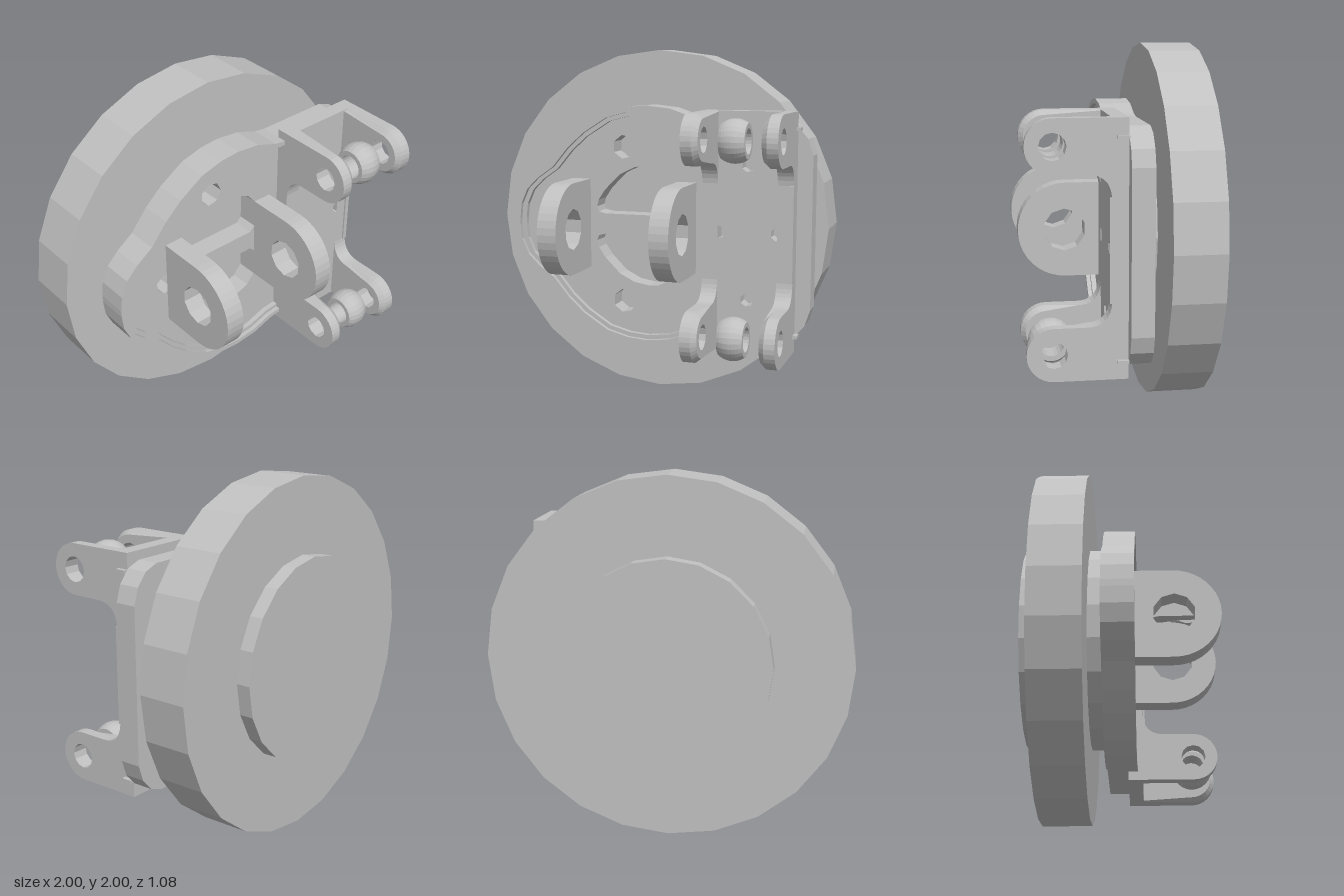
import * as THREE from 'three';

const grey = new THREE.MeshStandardMaterial({ color: 0xc0c0c0, flatShading: true });
grey.name = 'plain grey';
const smoothGrey = grey;

const toPoints = (list) => list.map(([x, y]) => new THREE.Vector2(x, y));
const mirrorY = (list) => list.map(([x, y]) => [x, 2 - y]).reverse();

function circlePath(x, y, r, sides, turn = 0) {
  const pts = [];
  for (let i = 0; i < sides; i++) {
    const a = turn + (i / sides) * Math.PI * 2;
    pts.push([x + r * Math.cos(a), y + r * Math.sin(a)]);
  }
  return new THREE.Path(toPoints(pts));
}

export function createModel() {
  const model = new THREE.Group();
  model.name = 'wheelMount';

  const add = (name, geometry, x = 0, y = 0, z = 0, material = grey) => {
    const mesh = new THREE.Mesh(geometry, material);
    mesh.name = name;
    mesh.position.set(x, y, z);
    model.add(mesh);
    return mesh;
  };
  const slab = (shape, depth) =>
    new THREE.ExtrudeGeometry(shape, { depth, bevelEnabled: false, curveSegments: 6 });
  // Profile drawn as (z, y), thickness running from sz = 0 towards -x
  const sideSlab = (shape, depth, steps = 1, curveSegments = 8) =>
    new THREE.ExtrudeGeometry(shape, { depth, steps, bevelEnabled: false, curveSegments });

  // Large disc and the hub that passes through it
  const disc = (name, r, sides, z0, z1) =>
    add(name, new THREE.CylinderGeometry(r, r, z1 - z0, sides).rotateX(Math.PI / 2), 0, 1, (z0 + z1) / 2);
  disc('disc', 1, 24, -0.46, -0.18);
  disc('hub', 0.575, 20, -0.54, -0.1);

  // Mounting plate: upper half of the outline, mirrored for the lower half
  const leftTop = [
    [-0.82, 1.02], [-0.81, 1.11], [-0.77, 1.2], [-0.7, 1.27], [-0.6, 1.34], [-0.5, 1.46],
    [-0.4, 1.55], [-0.25, 1.645], [-0.12, 1.68], [0, 1.69], [0.14, 1.675], [0.27, 1.63], [0.34, 1.62],
  ];
  const rightTop = [[0.77, 1.62], [0.85, 1.59], [0.91, 1.52], [0.94, 1.43]];
  const upper = [...leftTop, ...rightTop];
  const plateShape = new THREE.Shape(toPoints([...upper, ...mirrorY(upper)]));

  // Two large pockets and three bolt holes
  const pocket = [
    [-0.32, 1.1], [-0.31, 1.07], [-0.27, 1.06], [0.14, 1.06], [0.17, 1.09], [0.17, 1.26],
    [0.12, 1.32], [0.06, 1.345], [0, 1.35], [-0.09, 1.335], [-0.18, 1.29], [-0.27, 1.2], [-0.31, 1.14],
  ];
  plateShape.holes.push(
    new THREE.Path(toPoints(pocket)),
    new THREE.Path(toPoints(mirrorY(pocket))),
    circlePath(-0.15, 1.45, 0.07, 7),
    circlePath(-0.15, 0.55, 0.07, 7),
    circlePath(-0.48, 1, 0.065, 7),
  );
  add('mountingPlate', slab(plateShape, 0.12), 0, 0, -0.1);

  // Raised rim in two steps, open towards the bracket
  const rimOuter = [...mirrorY(leftTop), ...leftTop];
  const rim = (name, scale, z0, z1) => {
    const inner = rimOuter.map(([x, y]) => [x > 0.33 ? x : x * scale, 1 + (y - 1) * scale]).reverse();
    add(name, slab(new THREE.Shape(toPoints([...rimOuter, ...inner])), z1 - z0), 0, 0, z0);
  };
  rim('rimBase', 0.925, 0.02, 0.05);
  rim('rimTop', 0.96, 0.05, 0.075);

  // Pair of pierced lugs
  const lug = new THREE.Shape();
  lug.moveTo(0.02, 0.74);
  lug.lineTo(0.28, 0.74);
  lug.absarc(0.28, 1, 0.26, -Math.PI / 2, Math.PI / 2, false);
  lug.lineTo(0.02, 1.26);
  lug.holes.push(circlePath(0.285, 1, 0.117, 10, 0.3));
  for (const [name, x] of [['rightLug', -0.36], ['leftLug', 0.28]]) {
    add(name, sideSlab(lug, 0.11, 1, 10).rotateY(-Math.PI / 2), x);
  }

  // Bracket base with four small holes
  const base = new THREE.Shape(toPoints([[0.36, 0.33], [0.84, 0.33], [0.84, 1.67], [0.36, 1.67]]));
  for (const [x, y] of [[0.6, 1.375], [0.6, 0.625], [0.435, 1], [0.765, 1]]) {
    base.holes.push(circlePath(x, y, 0.038, 7));
  }
  add('bracketBase', slab(base, 0.085), 0, 0, 0.02);

  // Bracket cheeks, each with two eyed ears chamfered on the inner face
  const ears = [0.47, 1.53];
  const cheek = new THREE.Shape();
  cheek.moveTo(0.02, 0.33);
  cheek.lineTo(0.4, 0.33);
  cheek.absarc(0.4, 0.47, 0.14, -Math.PI / 2, Math.PI / 2, false);
  cheek.lineTo(0.23, 0.61);
  cheek.quadraticCurveTo(0.115, 0.61, 0.105, 0.73);
  cheek.lineTo(0.105, 1.27);
  cheek.quadraticCurveTo(0.115, 1.39, 0.23, 1.39);
  cheek.lineTo(0.4, 1.39);
  cheek.absarc(0.4, 1.53, 0.14, -Math.PI / 2, Math.PI / 2, false);
  cheek.lineTo(0.02, 1.67);
  for (const y of ears) cheek.holes.push(circlePath(0.4, y, 0.07, 12));

  const makeCheek = (innerAtStart) => {
    const g = sideSlab(cheek, 0.09, 3);
    const p = g.attributes.position;
    const innerZ = innerAtStart ? 0 : 0.09;
    for (let i = 0; i < p.count; i++) {
      if (Math.abs(p.getZ(i) - innerZ) > 0.001) continue;
      for (const y of ears) {
        const dx = p.getX(i) - 0.4, dy = p.getY(i) - y, d = Math.hypot(dx, dy);
        if (d > 0.1 && d < 0.145) p.setXY(i, 0.4 + dx * 0.82, y + dy * 0.82);
      }
    }
    g.rotateY(-Math.PI / 2);
    g.computeVertexNormals();
    return g;
  };
  add('rightCheek', makeCheek(true), 0.43);
  add('leftCheek', makeCheek(false), 0.855);

  // Low lip along the outer edge of the bracket
  add('bracketLip', new THREE.BoxGeometry(0.025, 0.54, 0.095), 0.8425, 1, 0.0675);

  // Small tabs beside the bracket
  for (const y of [0.425, 1.575]) {
    add('sideTab', new THREE.BoxGeometry(0.03, 0.018, 0.06), 0.865, y, 0.05);
  }

  // Barrel-shaped bored bearings between the ears
  const profile = [[0.068, -0.07]];
  for (let i = 0; i <= 8; i++) {
    const h = -0.07 + (0.14 * i) / 8;
    profile.push([Math.sqrt(0.118 * 0.118 - h * h), h]);
  }
  profile.push([0.068, 0.07], [0.068, -0.07]);
  const barrel = new THREE.LatheGeometry(toPoints(profile), 24).rotateZ(Math.PI / 2);
  for (const y of ears) add('bearing', barrel, 0.6, y === 0.47 ? 0.475 : 1.528, 0.397, smoothGrey);

  return model;
}
